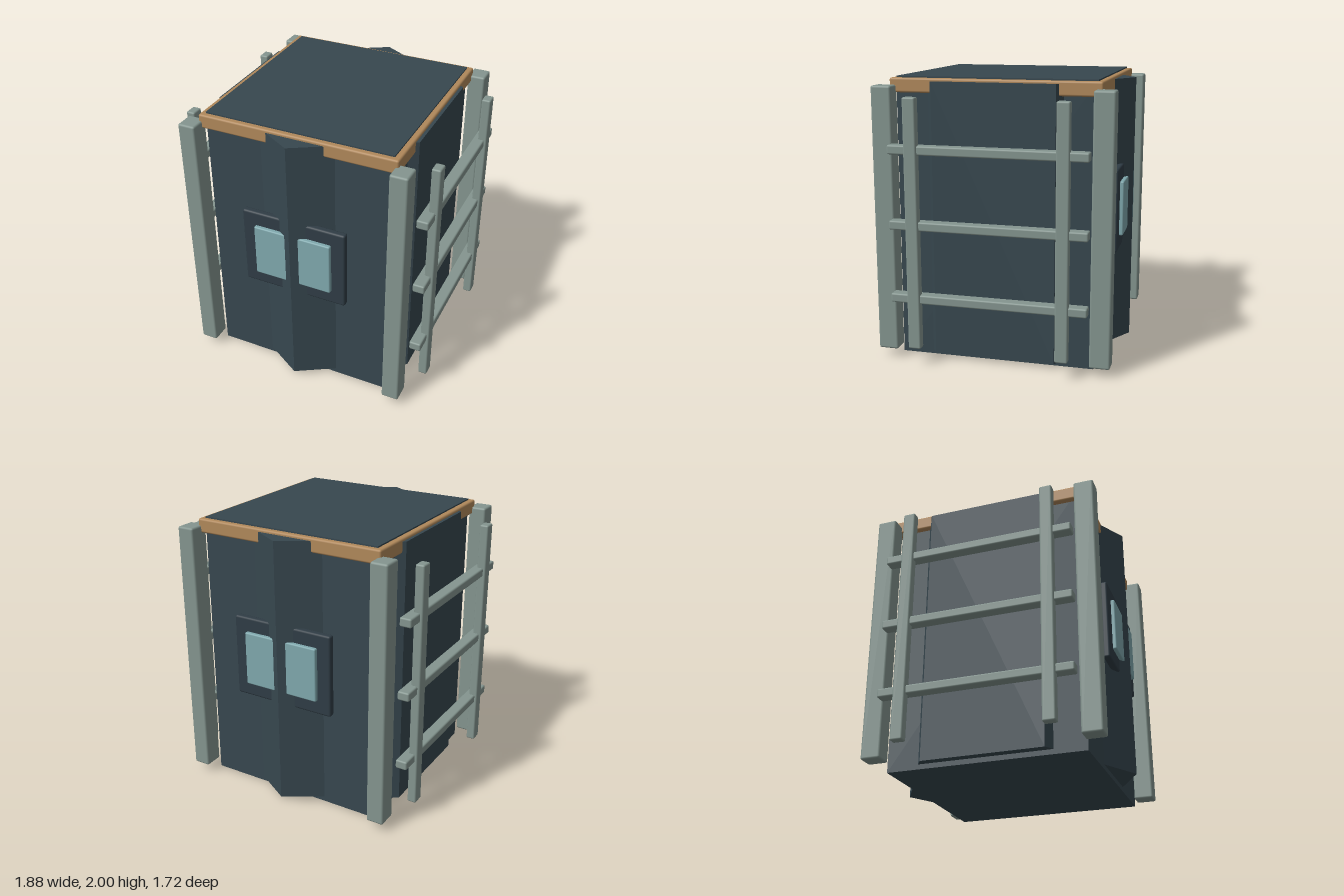
import * as THREE from 'three';
import { RoundedBoxGeometry } from 'three/addons/geometries/RoundedBoxGeometry.js';

const material = (name, color) => {
  const m = new THREE.MeshStandardMaterial({ color });
  m.name = name;
  return m;
};

export function createModel() {
  const model = new THREE.Group();
  model.name = 'cabin';
  const slate = material('slate blue', 0x37474f);
  const darkSlate = material('dark slate', 0x2f3c45);
  const grey = material('grey green', 0x84958f);
  const tan = material('tan', 0xb0885a);
  const glass = material('pale teal', 0x7fa8ad);

  const add = (parent, name, geometry, mat) => {
    const mesh = new THREE.Mesh(geometry, mat);
    mesh.name = name;
    parent.add(mesh);
    return mesh;
  };
  // Box given by its min and max on each axis, with softened edges
  const block = (parent, name, mat, [x0, x1], [y0, y1], [z0, z1], r = 0.012) => {
    const size = [x1 - x0, y1 - y0, z1 - z0];
    const geometry = r ? new RoundedBoxGeometry(...size, 2, r) : new THREE.BoxGeometry(...size);
    add(parent, name, geometry, mat).position.set((x0 + x1) / 2, (y0 + y1) / 2, (z0 + z1) / 2);
  };
  // Upright prism from a plan outline of [x, z] points
  const prism = (parent, name, mat, points, y0, y1) => {
    const shape = new THREE.Shape(points.map(([x, z]) => new THREE.Vector2(x, -z)));
    const geometry = new THREE.ExtrudeGeometry(shape, { depth: y1 - y0, bevelEnabled: false });
    geometry.rotateX(-Math.PI / 2).translate(0, y0, 0);
    add(parent, name, geometry, mat);
  };

  // Core and the trim band under the roof
  block(model, 'body', slate, [-0.68, 0.68], [0, 2], [-0.7, 0.7], 0);
  block(model, 'roofTrim', tan, [-0.72, 0.72], [1.89, 1.99], [-0.737, 0.737], 0.014);

  // Front and back: pointed ridge, window surround and pane
  for (const end of ['front', 'back']) {
    const face = new THREE.Group();
    face.name = end + 'Face';
    if (end === 'back') face.rotation.y = Math.PI;
    prism(face, 'ridge', slate, [[-0.28, 0.695], [0.28, 0.695], [0, 0.86]], 0.035, 1.97);
    block(face, 'windowSurround', darkSlate, [-0.388, 0.388], [0.765, 1.362], [0.75, 0.802], 0.015);
    block(face, 'windowPane', glass, [-0.288, 0.288], [0.868, 1.26], [0.785, 0.83], 0.01);
    model.add(face);
  }

  // Both sides: raised panel and ladder-like rack
  for (const side of ['left', 'right']) {
    const rack = new THREE.Group();
    rack.name = side + 'Side';
    if (side === 'right') rack.rotation.y = Math.PI;
    prism(rack, 'sidePanel', slate,
      [[0.675, -0.475], [0.742, -0.432], [0.742, 0.432], [0.675, 0.475]], 0.035, 1.97);
    for (const y of [0.485, 1.004, 1.525]) {
      block(rack, 'rackBar', grey, [0.835, 0.92], [y - 0.032, y + 0.032], [-0.69, 0.69]);
    }
    for (const z of [-0.52, 0.52]) {
      block(rack, 'rackUpright', grey, [0.873, 0.938], [0.128, 1.88], [z - 0.045, z + 0.045]);
    }
    for (const z of [-0.763, 0.763]) {
      block(rack, 'cornerPost', grey, [0.695, 0.822], [0.063, 1.942], [z - 0.072, z + 0.072], 0.015);
    }
    model.add(rack);
  }
  return model;
}
